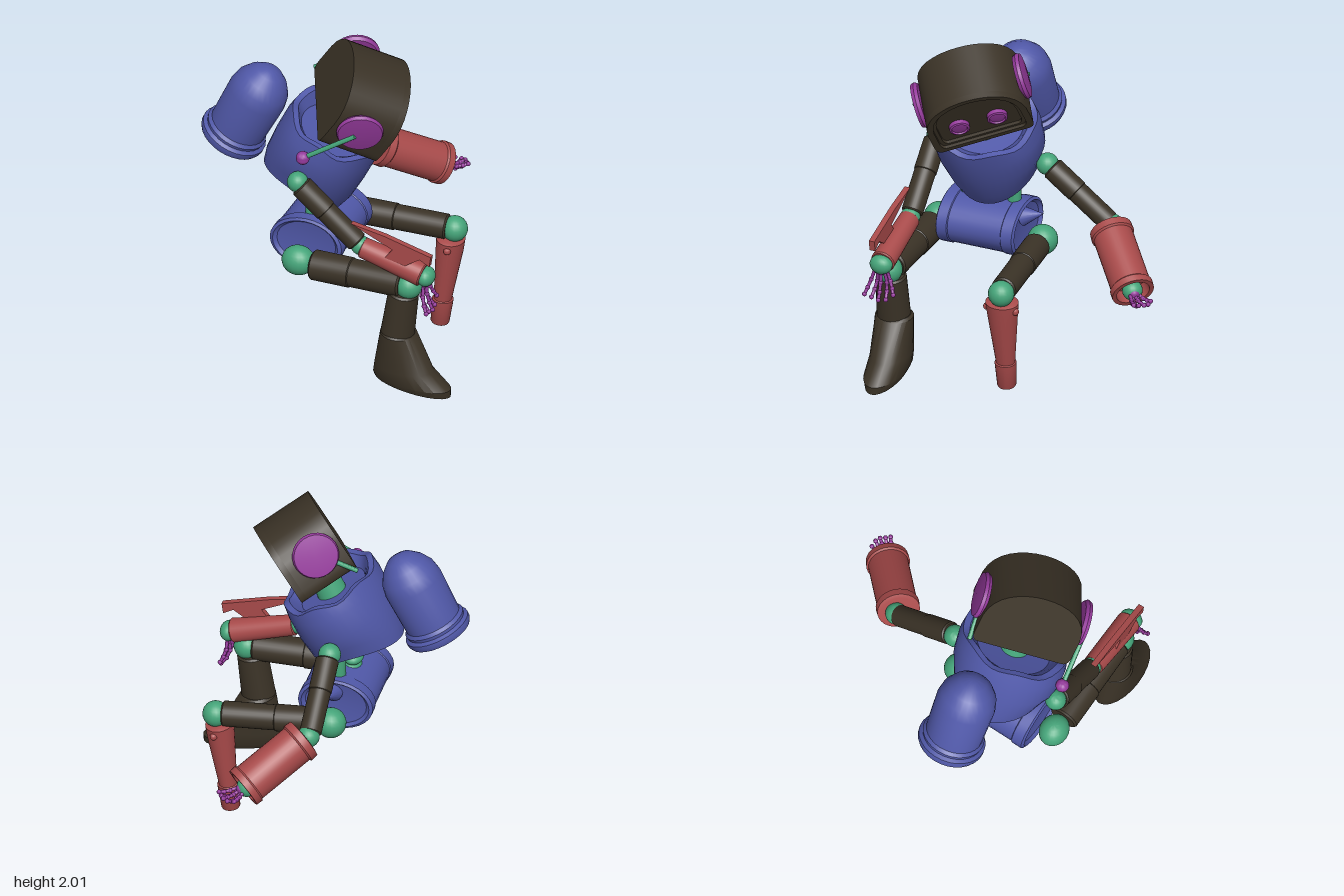
import * as THREE from 'three';
import { toCreasedNormals } from 'three/addons/utils/BufferGeometryUtils.js';

const mat = (color) => new THREE.MeshStandardMaterial({ color, side: THREE.DoubleSide });
const DARK = mat(0x3a3226), BLUE = mat(0x5058a8), RED = mat(0xa84a4a), GREEN = mat(0x45a57a), PURPLE = mat(0x953a9c);
const V = (x, y, z) => new THREE.Vector3(x, y, z);
const UP = V(0, 1, 0);

export function createModel() {
  const root = new THREE.Group();
  root.name = 'seatedRobot';

  function add(name, geo, material, parent = root) {
    const m = new THREE.Mesh(toCreasedNormals(geo, 0.6), material);
    m.name = name;
    parent.add(m);
    return m;
  }
  // Turned part: profile of [radius, height], standing at p and pointing along dir
  function turned(name, profile, p, dir, material, parent = root) {
    const m = add(name, new THREE.LatheGeometry(profile.map((q) => new THREE.Vector2(...q)), 28), material, parent);
    m.position.copy(p);
    m.quaternion.setFromUnitVectors(UP, dir.clone().normalize());
    return m;
  }
  function rod(name, a, b, ra, rb, material, parent = root) {
    const d = b.clone().sub(a), h = d.length(), c = Math.min(ra, rb) * 0.12;
    return turned(name, [[0, 0], [ra - c, 0], [ra, c], [rb, h - c], [rb - c, h], [0, h]], a, d, material, parent);
  }
  function ball(name, p, r, material, scale = [1, 1, 1], parent = root) {
    const m = add(name, new THREE.SphereGeometry(r, 20, 14), material, parent);
    m.position.copy(p);
    m.scale.set(...scale);
    return m;
  }
  // Limb tube in two sections with a raised seam
  function limb(name, a, b, r, material) {
    rod(name, a, b, r * 0.94, r * 0.94, material);
    rod(name + 'Sleeve', a, a.clone().lerp(b, 0.45), r, r, material);
  }
  function frame(name, p, x, y, z) {
    const g = new THREE.Group();
    g.name = name;
    g.position.copy(p);
    g.quaternion.setFromRotationMatrix(new THREE.Matrix4().makeBasis(x, y, z));
    root.add(g);
    return g;
  }
  // Loft of oval rings, each [backX, backY, frontX, frontY, halfWidth]
  function loft(name, rings, zc, material) {
    const n = 24, pos = [], idx = [];
    const ends = [rings[0], rings[rings.length - 1]];
    for (const [bx, by, fx, fy, w] of rings) for (let i = 0; i < n; i++) {
      const a = (i / n) * Math.PI * 2, c = Math.cos(a) / 2;
      pos.push((bx + fx) / 2 + c * (fx - bx), (by + fy) / 2 + c * (fy - by), zc + w * Math.sin(a));
    }
    for (const [bx, by, fx, fy] of ends) pos.push((bx + fx) / 2, (by + fy) / 2, zc);
    const last = (rings.length - 1) * n, c0 = rings.length * n;
    for (let i = 0; i < n; i++) {
      const j = (i + 1) % n;
      for (let r = 0; r < last; r += n) idx.push(r + i, r + n + i, r + j, r + j, r + n + i, r + n + j);
      idx.push(c0, i, j, c0 + 1, last + j, last + i);
    }
    const g = new THREE.BufferGeometry();
    g.setAttribute('position', new THREE.Float32BufferAttribute(pos, 3));
    g.setIndex(idx);
    return add(name, g, material);
  }
  // Five jointed fingers fanned about a palm
  function hand(name, p, dir, side, len, fan) {
    const g = new THREE.Group();
    g.name = name;
    root.add(g);
    const curl = dir.clone().cross(side).normalize();
    ball('palm', p, 0.035, PURPLE, [1, 1, 1], g);
    for (let i = -2; i <= 2; i++) {
      const at = (t) => p.clone().addScaledVector(dir, len * t * (i === -2 ? 0.75 : 1 - 0.05 * Math.abs(i)))
        .addScaledVector(side, i * fan * (0.4 + 0.6 * t)).addScaledVector(curl, 0.035 * Math.sin(t * 3) * (i % 2 ? 1 : 0.4));
      const pts = [0.1, 0.45, 0.75, 1].map(at);
      for (let k = 0; k < 3; k++) {
        rod('fingerBone', pts[k], pts[k + 1], 0.011, 0.009, PURPLE, g);
        ball('fingerJoint', pts[k + 1], 0.014, PURPLE, [1, 1, 1], g);
      }
    }
  }

  // Head, turned and bowed
  const ear = V(0.39, -0.31, 0.87).normalize();
  const face = V(0.735, -0.47, -0.49);
  face.addScaledVector(ear, -face.dot(ear)).normalize();
  const crown = ear.clone().cross(face);
  const head = frame('head', V(0.14, 1.735, 0.38), ear.clone().negate(), crown, face);
  const outline = (C, s, dy = 0) => {
    const c = new C();
    const k = (x, y) => [x * s, y * s + dy];
    c.moveTo(...k(-0.26, -0.22));
    c.lineTo(...k(0.26, -0.22));
    c.quadraticCurveTo(...k(0.3, -0.22), ...k(0.3, -0.15));
    c.lineTo(...k(0.3, -0.02));
    c.bezierCurveTo(...k(0.29, 0.15), ...k(0.14, 0.22), ...k(0, 0.22));
    c.bezierCurveTo(...k(-0.14, 0.22), ...k(-0.29, 0.15), ...k(-0.3, -0.02));
    c.lineTo(...k(-0.3, -0.15));
    c.quadraticCurveTo(...k(-0.3, -0.22), ...k(-0.26, -0.22));
    return c;
  };
  const slab = (name, s, hole, z, depth) => {
    const sh = outline(THREE.Shape, s);
    if (hole) sh.holes.push(outline(THREE.Path, hole));
    add(name, new THREE.ExtrudeGeometry(sh, { depth, bevelEnabled: false, curveSegments: 8 }), DARK, head).position.z = z;
  };
  slab('helmet', 1, 0, -0.16, 0.34);
  slab('faceRim', 1, 0.87, 0.18, 0.04);
  slab('faceInnerRim', 0.88, 0.8, 0.18, 0.02);
  for (const s of [-1, 1]) {
    turned('eye', [[0, 0], [0.06, 0], [0.06, 0.025], [0.048, 0.03], [0.044, 0.02], [0, 0.025]], V(s * 0.115, -0.06, 0.18), V(0, 0, 1), PURPLE, head);
    turned('earDisc', [[0, 0], [0.125, 0], [0.138, 0.02], [0.13, 0.04], [0, 0.055]], V(s * 0.29, -0.01, 0), V(s, 0, 0), PURPLE, head);
  }
  rod('rightAntenna', V(0.24, 1.62, 0.69), V(-0.07, 1.43, 0.73), 0.014, 0.014, GREEN);
  ball('antennaTip', V(-0.07, 1.43, 0.73), 0.04, PURPLE);
  rod('leftAntenna', V(0.02, 1.83, 0.12), V(-0.22, 1.71, 0.18), 0.014, 0.014, GREEN);
  rod('neck', V(-0.04, 1.36, 0.36), V(0.07, 1.6, 0.37), 0.09, 0.08, GREEN);

  // Torso: oval barrel leaning forward, narrowed below, with an arched hem and a scooped collar
  const lean = V(0.45, 0.89, 0).normalize(), chest = V(0.89, -0.45, 0).normalize();
  const torso = frame('torso', V(-0.1, 1.28, 0.36), chest, lean, V(0, 0, 1));
  const body = new THREE.LatheGeometry([[0, -0.12], [0.22, -0.14], [0.265, -0.24], [0.285, -0.16], [0.295, 0], [0.295, 0.14],
    [0.285, 0.22], [0.25, 0.22], [0.2, 0.16], [0, 0.15]].map((q) => new THREE.Vector2(...q)), 40);
  const bp = body.attributes.position;
  for (let i = 0; i < bp.count; i++) {
    const x = bp.getX(i), y = bp.getY(i), z = bp.getZ(i);
    const hem = y < -0.15 ? 0.9 * z * z : y > 0.2 ? -0.015 * Math.cos(6 * Math.atan2(z, x)) : 0;
    bp.setXYZ(i, x, y + hem, z * THREE.MathUtils.clamp(1.1 + 0.6 * y, 0.95, 1.13));
  }
  add('chestShell', body, BLUE, torso);

  // Backpack with domed top and flared foot
  turned('backpack', [[0, 0.03], [0.15, 0.02], [0.19, 0], [0.2, 0.02], [0.2, 0.045], [0.18, 0.06], [0.185, 0.08], [0.17, 0.1], [0.178, 0.36],
    [0.165, 0.43], [0.13, 0.49], [0.08, 0.54], [0.03, 0.56], [0, 0.562]], V(-0.67, 1.24, 0.35), lean, BLUE);

  // Waist
  for (let i = 0; i < 5; i++) ball('spineDisc', V(-0.14 - 0.012 * Math.sin(i), 0.92 + i * 0.06, 0.36), 0.065, GREEN, [0.9, 0.6, 1.2]);
  for (const s of [-1, 1]) rod('waistPiston', V(-0.1, 0.86, 0.36 + s * 0.15), V(-0.1, 1.2, 0.36 + s * 0.15), 0.04, 0.04, GREEN);

  // Pelvis: oval drum across the hips with raised bands and hollow ends
  const pelvis = turned('pelvis', [[0, 0.04], [0.135, 0.02], [0.15, 0], [0.165, 0.01], [0.165, 0.08], [0.16, 0.085], [0.16, 0.42],
    [0.165, 0.425], [0.165, 0.49], [0.15, 0.5], [0.135, 0.48], [0, 0.46]], V(-0.1, 0.785, 0.12), V(0, 0, 1), BLUE);
  pelvis.scale.set(1.36, 1, 1);
  const flare = add('hipFlare', new THREE.ConeGeometry(0.06, 0.14, 16), BLUE);
  flare.position.set(-0.08, 0.88, 0.08);
  flare.rotation.x = -Math.PI / 2 + 0.3;

  // Right leg
  ball('rightHip', V(-0.11, 0.72, 0.7), 0.09, GREEN, [1.1, 1, 0.95]);
  limb('rightThigh', V(-0.02, 0.71, 0.7), V(0.54, 0.705, 0.7), 0.09, DARK);
  ball('rightKnee', V(0.58, 0.7, 0.7), 0.08, GREEN);
  rod('rightCalf', V(0.51, 0.36, 0.7), V(0.55, 0.655, 0.7), 0.1, 0.09, DARK);
  loft('rightBoot', [[0.37, 0.07, 0.84, 0.005, 0.1], [0.36, 0.1, 0.84, 0.05, 0.117], [0.37, 0.16, 0.73, 0.15, 0.117],
    [0.41, 0.385, 0.62, 0.37, 0.115], [0.43, 0.4, 0.6, 0.385, 0.1]], 0.695, DARK);

  // Left leg, with a tapered shin
  ball('leftHip', V(-0.1, 0.72, 0.03), 0.09, GREEN);
  limb('leftThigh', V(-0.02, 0.72, 0.03), V(0.54, 0.7, -0.01), 0.08, DARK);
  ball('leftKnee', V(0.58, 0.695, -0.015), 0.077, GREEN);
  loft('leftShin', [[0.44, 0.06, 0.54, 0.05, 0.05], [0.435, 0.07, 0.545, 0.06, 0.056], [0.445, 0.22, 0.57, 0.21, 0.064],
    [0.455, 0.225, 0.56, 0.215, 0.057], [0.47, 0.56, 0.63, 0.55, 0.092], [0.475, 0.64, 0.64, 0.62, 0.1], [0.5, 0.65, 0.62, 0.63, 0.08]], -0.01, RED);
  for (const s of [-1, 1]) ball('shinBolt', V(0.57, 0.59, -0.01 + s * 0.09), 0.022, RED);

  // Right arm resting on the knee
  ball('rightShoulder', V(-0.11, 1.25, 0.71), 0.062, GREEN);
  limb('rightUpperArm', V(-0.09, 1.23, 0.71), V(0.26, 0.92, 0.7), 0.068, DARK);
  ball('rightElbow', V(0.28, 0.905, 0.7), 0.058, GREEN);
  rod('rightForearm', V(0.29, 0.895, 0.7), V(0.67, 0.79, 0.7), 0.062, 0.072, RED);
  ball('rightWrist', V(0.69, 0.785, 0.7), 0.058, GREEN, [0.9, 1, 1.2]);
  hand('rightHand', V(0.69, 0.755, 0.7), V(0.22, -0.97, 0), V(0, 0, 1), 0.19, 0.045);
  const finShape = new THREE.Shape([[0.24, 1.07], [0.45, 1.03], [0.74, 0.95], [0.73, 0.885], [0.67, 0.92], [0.58, 0.86], [0.44, 0.87], [0.5, 0.95]]
    .map((q) => new THREE.Vector2(...q)));
  add('forearmFin', new THREE.ExtrudeGeometry(finShape, { depth: 0.035, bevelEnabled: false }), RED).position.z = 0.72;

  // Left arm reaching out, with a wide open cuff
  ball('leftShoulder', V(-0.1, 1.22, 0.0), 0.066, GREEN);
  limb('leftUpperArm', V(-0.095, 1.205, -0.03), V(-0.09, 0.93, -0.4), 0.068, DARK);
  ball('leftElbow', V(-0.085, 0.92, -0.42), 0.065, GREEN);
  const reach = V(0.295, -0.22, -0.28);
  turned('leftForearm', [[0, 0.02], [0.1, 0], [0.125, 0.005], [0.128, 0.05], [0.118, 0.06], [0.118, 0.41], [0.128, 0.42], [0.126, 0.46],
    [0.1, 0.46], [0.095, 0.38], [0, 0.38]], V(-0.06, 0.905, -0.42), reach, RED);
  ball('leftWrist', V(0.215, 0.69, -0.685), 0.06, GREEN);
  hand('leftHand', V(0.24, 0.685, -0.705), V(0.62, -0.1, -0.77), V(0.77, 0.1, 0.62).normalize(), 0.135, 0.03);

  return root;
}
